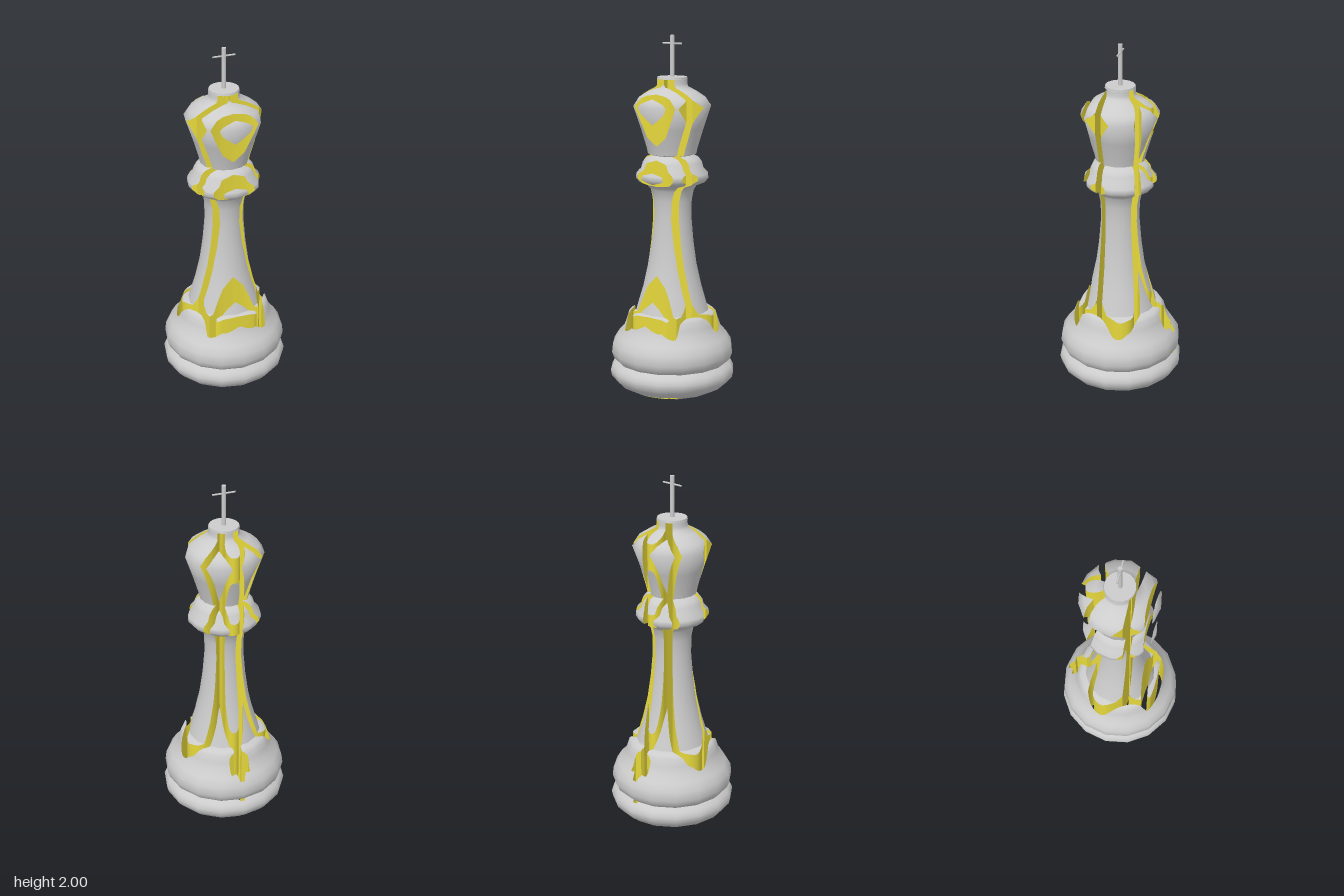
import * as THREE from 'three';
import { toCreasedNormals } from 'three/addons/utils/BufferGeometryUtils.js';

const SIDES = 16, STEP = (Math.PI * 2) / SIDES;

// Turned profile of the chess king: [radius, height]
const PROFILE = [
  [0, 0], [0.19, 0], [0.25, 0.022], [0.31, 0.055], [0.345, 0.095], [0.352, 0.13], [0.337, 0.16], [0.312, 0.18],
  [0.332, 0.2], [0.344, 0.235], [0.338, 0.285], [0.31, 0.33], [0.278, 0.365], [0.262, 0.41], [0.25, 0.45],
  [0.235, 0.468], [0.205, 0.475], [0.165, 0.61], [0.138, 0.73], [0.12, 0.86], [0.108, 1.0], [0.11, 1.1],
  [0.122, 1.16], [0.14, 1.185], [0.182, 1.2], [0.203, 1.225], [0.2, 1.25], [0.175, 1.275], [0.165, 1.31],
  [0.145, 1.335], [0.112, 1.35], [0.135, 1.357], [0.142, 1.39], [0.175, 1.5], [0.215, 1.62],
  [0.185, 1.665], [0.13, 1.7], [0.088, 1.722], [0.083, 1.74], [0.083, 1.772],
];

// Joins smooth runs of [x, z] points into one outline, keeping corners between runs
function outline(...runs) {
  const out = [];
  for (const run of runs) {
    const curve = new THREE.CatmullRomCurve3(run.map(([x, z]) => new THREE.Vector3(x, 0, z)), false, 'centripetal');
    const n = Math.max(2, Math.ceil(curve.getLength() / 0.012));
    curve.getSpacedPoints(n).slice(0, n).forEach((p) => out.push([p.x, p.z]));
  }
  return out;
}
const flip = (run) => run.map(([x, z]) => [-x, z]).reverse();
// Completes a right-hand half, listed from one end of the axis to the other
const mirrored = (...runs) => outline(...runs, ...runs.slice().reverse().map(flip));

// Gap outline through the outer shell, with the cross-shaped notch at the back
const cutout = mirrored(
  [[0, 0.257], [0.087, 0.25], [0.15, 0.227], [0.176, 0.21]],
  [[0.176, 0.21], [0.178, 0.18], [0.19, 0.115], [0.22, 0.06], [0.258, 0], [0.268, -0.035], [0.258, -0.083],
    [0.229, -0.121], [0.172, -0.15], [0.115, -0.146], [0.07, -0.12]],
  [[0.07, -0.12], [0.055, -0.168], [0.023, -0.212]],
  [[0.023, -0.212], [0.023, -0.238]], [[0.023, -0.238], [0.057, -0.246]], [[0.057, -0.246], [0.057, -0.288]],
  [[0.057, -0.288], [0.026, -0.288]], [[0.026, -0.288], [0.013, -0.32]], [[0.013, -0.32], [0, -0.32]],
);
const lobeRuns = [
  [[0.012, 0.06], [0.175, 0.06]],
  [[0.175, 0.06], [0.205, 0.02], [0.232, -0.03], [0.232, -0.065], [0.205, -0.107], [0.16, -0.12],
    [0.1, -0.1], [0.055, -0.06], [0.025, 0], [0.012, 0.06]],
];
// Upright islands standing inside the gap
const islands = [
  outline(...lobeRuns),
  outline(...lobeRuns.map(flip).reverse()),
  mirrored([[0, -0.182], [0.024, -0.173], [0.036, -0.14], [0.034, -0.11], [0.022, -0.075], [0.01, -0.02], [0, 0.025]]),
  mirrored([[0, 0.083], [0.09, 0.093], [0.16, 0.095]], [[0.16, 0.095], [0.148, 0.167]],
    [[0.148, 0.167], [0.083, 0.152], [0, 0.147]]),
  mirrored([[0, 0.184], [0.07, 0.188], [0.112, 0.197], [0.122, 0.204], [0.112, 0.214], [0.07, 0.221], [0, 0.223]]),
];

// Signed distance to an outline, positive inside
function inside(poly, x, z) {
  let best = Infinity, isIn = false;
  for (let i = 0, j = poly.length - 1; i < poly.length; j = i++) {
    const [ax, az] = poly[j], [bx, bz] = poly[i];
    const dx = bx - ax, dz = bz - az;
    const t = Math.min(1, Math.max(0, ((x - ax) * dx + (z - az) * dz) / (dx * dx + dz * dz || 1)));
    best = Math.min(best, Math.hypot(x - ax - t * dx, z - az - t * dz));
    if ((az > z) !== (bz > z) && x < ax + ((z - az) / dz) * dx) isIn = !isIn;
  }
  return isIn ? best : -best;
}
const solid = (x, z) => Math.max(-inside(cutout, x, z), ...islands.map((p) => inside(p, x, z)));

// Adds a quad, keeping only where the last value of its corners is positive
function addClipped(out, a, b, c, d) {
  for (const tri of [[a, b, c], [a, c, d]]) {
    const kept = [];
    tri.forEach((p, i) => {
      const q = tri[(i + 1) % 3], fp = p[6], fq = q[6];
      if (fp >= 0) kept.push(p);
      if ((fp >= 0) !== (fq >= 0)) kept.push(p.map((v, k) => v + (q[k] - v) * (fp / (fp - fq))));
    });
    for (let i = 1; i + 1 < kept.length; i++) out.push(kept[0], kept[i], kept[i + 1]);
  }
}
function toGeometry(corners, withNormals) {
  const g = new THREE.BufferGeometry();
  g.setAttribute('position', new THREE.Float32BufferAttribute(corners.flatMap((p) => p.slice(0, 3)), 3));
  if (withNormals) g.setAttribute('normal', new THREE.Float32BufferAttribute(corners.flatMap((p) => p.slice(3, 6)), 3));
  return g;
}

// Profile split into fine rows with smooth normals, creased at sharp angles
function profileBands() {
  const segs = PROFILE.slice(1).map(([r, y], i) => new THREE.Vector2(y - PROFILE[i][1], PROFILE[i][0] - r).normalize());
  const blend = (n, m) => (m && n.dot(m) > 0.6 ? n.clone().add(m).normalize() : n);
  const bands = [];
  segs.forEach((n, i) => {
    const [r0, y0] = PROFILE[i], [r1, y1] = PROFILE[i + 1];
    const n0 = blend(n, segs[i - 1]), n1 = blend(n, segs[i + 1]);
    const count = Math.ceil(Math.max(Math.abs(r1 - r0) / 0.01, (y1 - y0) / 0.06));
    const at = (t) => ({ r: r0 + (r1 - r0) * t, y: y0 + (y1 - y0) * t, n: n0.clone().lerp(n1, t).normalize() });
    for (let k = 0; k < count; k++) bands.push({ seg: i, a: at(k / count), b: at((k + 1) / count) });
  });
  return bands;
}
// Ratio of the sixteen-sided outline to its circle at an angle
const facet = (t) => Math.cos(STEP / 2) / Math.cos((((t % STEP) + STEP) % STEP) - STEP / 2);

// Turned outer surface, cut away along the gaps
function turnedSurface(bands) {
  const out = [], N = SIDES * 12;
  const point = ({ r, y, n }, i) => {
    const t = (i / N) * Math.PI * 2, s = Math.sin(t), c = Math.cos(t), R = r * facet(t + 1e-9);
    return [R * s, y, R * c, n.x * s, n.y, n.x * c, solid(R * s, R * c)];
  };
  for (const { a, b } of bands) {
    const low = [], high = [];
    for (let i = 0; i <= N; i++) { low.push(point(a, i)); high.push(point(b, i)); }
    for (let i = 0; i < N; i++) addClipped(out, low[i], low[i + 1], high[i + 1], high[i]);
  }
  return toGeometry(out, true);
}
// Upright walls of the gaps, kept where they lie within the turned profile
function cutWall(poly, bands) {
  const out = [];
  const point = ({ r, y }, [x, z]) => [x, y, z, 0, 0, 0, r * facet(Math.atan2(x, z)) - Math.hypot(x, z)];
  poly.forEach((p, i) => {
    const q = poly[(i + 1) % poly.length];
    for (const { seg, a, b } of bands) {
      if (seg > 0) addClipped(out, point(a, p), point(a, q), point(b, q), point(b, p));
    }
  });
  return toCreasedNormals(toGeometry(out, false), 0.6);
}

export function createModel() {
  const group = new THREE.Group();
  const grey = new THREE.MeshStandardMaterial({ color: 0xcccccc, side: THREE.DoubleSide });
  const yellow = new THREE.MeshStandardMaterial({ color: 0xe6d83c, side: THREE.DoubleSide });
  const add = (name, geometry, material = grey) => {
    const mesh = new THREE.Mesh(geometry, material);
    mesh.name = name;
    group.add(mesh);
    return mesh;
  };
  const bands = profileBands();
  add('turnedBody', turnedSurface(bands));

  // Coloured cut faces
  const names = ['leftLobeWall', 'rightLobeWall', 'centreDropWall', 'bandWall', 'frontSliverWall'];
  add('shellWall', cutWall(cutout, bands), yellow);
  islands.forEach((poly, i) => add(names[i], cutWall(poly, bands), yellow));

  // Cap and cross on top
  add('topCap', new THREE.CylinderGeometry(0.081, 0.084, 0.012, SIDES)).position.y = 1.77;
  add('crossPost', new THREE.CylinderGeometry(0.012, 0.012, 0.23, 12)).position.y = 1.885;
  const bar = add('crossBar', new THREE.CylinderGeometry(0.005, 0.005, 0.125, 8));
  bar.rotation.z = Math.PI / 2;
  bar.position.y = 1.955;
  return group;
}
